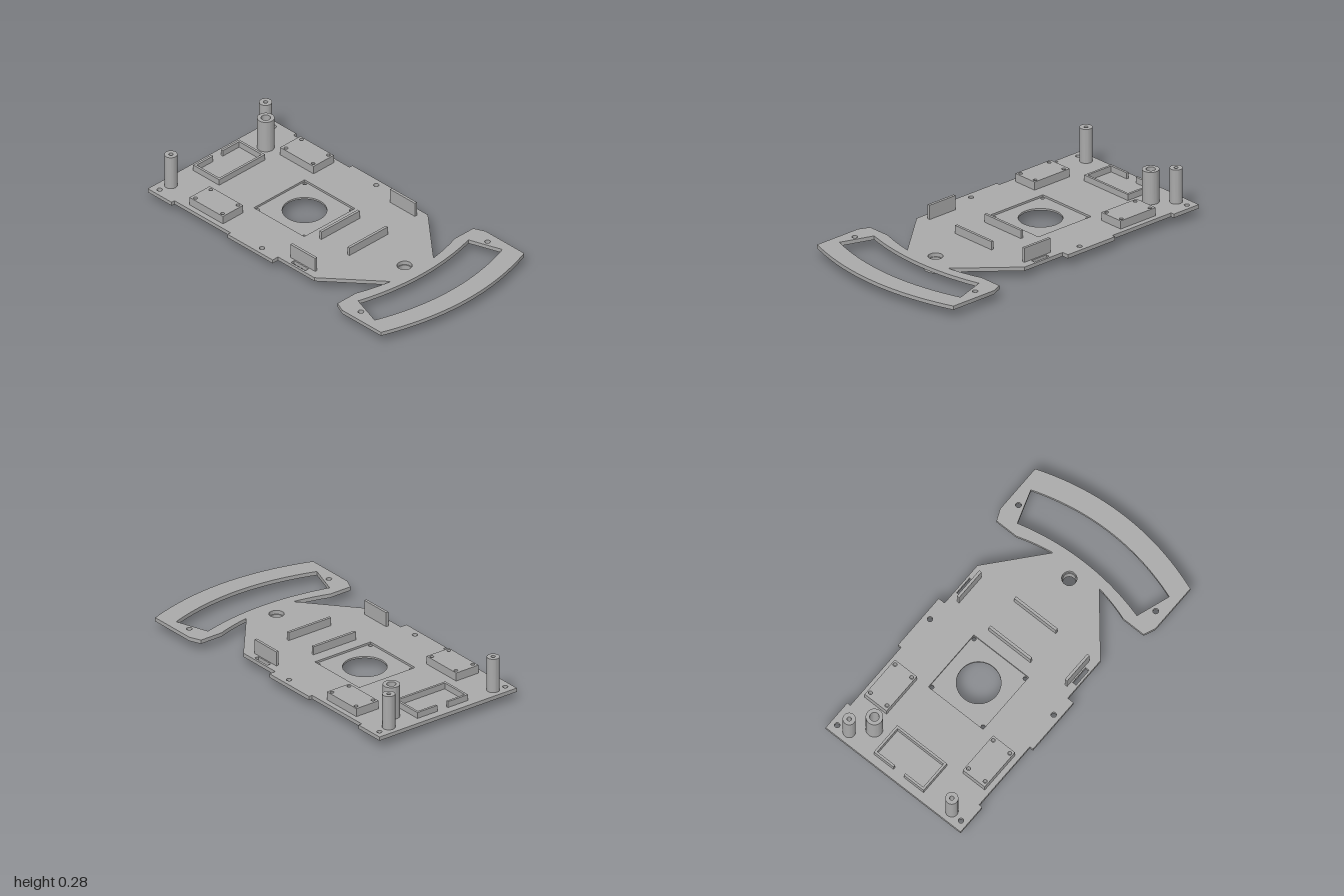
import * as THREE from 'three';
import { toCreasedNormals } from 'three/addons/utils/BufferGeometryUtils.js';

const grey = new THREE.MeshStandardMaterial({ color: 0xaaaaaa });
grey.name = 'grey plastic';

// All plan helpers take model x, z; shapes are drawn in (x, -z) and laid flat.
const circle = (x, z, r) => new THREE.Path().absarc(x, -z, r, 0, Math.PI * 2, false);
const rect = (x0, x1, z0, z1, Type = THREE.Path) =>
  new Type([[x0, z0], [x1, z0], [x1, z1], [x0, z1]].map(([x, z]) => new THREE.Vector2(x, -z)));
const disc = (x, z, r) => new THREE.Shape().absarc(x, -z, r, 0, Math.PI * 2, false);

function slab(group, name, shape, holes, y0, y1) {
  shape.holes.push(...holes);
  const flat = new THREE.ExtrudeGeometry(shape, { depth: y1 - y0, bevelEnabled: false, curveSegments: 24 });
  flat.rotateX(-Math.PI / 2).translate(0, y0, 0);
  const mesh = new THREE.Mesh(toCreasedNormals(flat, 0.5), grey);
  mesh.name = name;
  group.add(mesh);
}

function box(group, name, x0, x1, y0, y1, z0, z1) {
  const mesh = new THREE.Mesh(new THREE.BoxGeometry(x1 - x0, y1 - y0, z1 - z0), grey);
  mesh.position.set((x0 + x1) / 2, (y0 + y1) / 2, (z0 + z1) / 2);
  mesh.name = name;
  group.add(mesh);
}

// Chassis outline with side notches, tapered nose and curved bumper
function chassisShape() {
  const s = new THREE.Shape();
  const half = [[-1, 0.48], [-0.813, 0.48], [-0.813, 0.458], [-0.374, 0.458], [-0.374, 0.48],
    [-0.022, 0.48], [-0.022, 0.438], [0.262, 0.438], [0.583, 0.165]];
  s.moveTo(-1, 0.48);
  [...half].reverse().forEach(([x, y], i) => (i ? s.lineTo(x, y) : s.moveTo(x, y)));
  half.forEach(([x, y]) => s.lineTo(x, -y));
  s.quadraticCurveTo(0.566, -0.275, 0.53, -0.38);
  s.lineTo(0.53, -0.523);
  s.lineTo(0.597, -0.552);
  s.lineTo(0.9, -0.552);
  s.quadraticCurveTo(1.1, 0, 0.9, 0.552);
  s.lineTo(0.597, 0.552);
  s.lineTo(0.53, 0.523);
  s.lineTo(0.53, 0.38);
  s.quadraticCurveTo(0.566, 0.275, 0.583, 0.165);
  return s;
}

function bumperWindow() {
  const p = new THREE.Path();
  p.moveTo(0.592, -0.425);
  p.lineTo(0.79, -0.492);
  p.quadraticCurveTo(0.962, 0, 0.79, 0.492);
  p.lineTo(0.592, 0.425);
  p.quadraticCurveTo(0.71, 0, 0.592, -0.425);
  return p;
}

export function createModel() {
  const g = new THREE.Group();
  g.name = 'robotChassis';
  const bottom = 0.052, floor = 0.063, top = 0.075;

  // Holes that pass through the whole plate
  const through = () => {
    const h = [bumperWindow(), circle(0.524, 0, 0.042), circle(-0.836, -0.268, 0.026)];
    for (const s of [-1, 1]) {
      h.push(circle(-0.948, s * 0.44, 0.015), circle(-0.146, s * 0.44, 0.015), circle(0.678, s * 0.488, 0.016));
      h.push(s < 0 ? rect(0.066, 0.178, -0.425, -0.4) : rect(0.066, 0.178, 0.4, 0.425));
    }
    return h;
  };

  // Plate in two layers, the upper one leaving a square recess
  const recessHoles = [circle(-0.26, 0, 0.123)];
  for (const x of [-0.443, -0.079]) for (const z of [-0.182, 0.182]) recessHoles.push(circle(x, z, 0.011));
  slab(g, 'lowerPlate', chassisShape(), [...through(), ...recessHoles], bottom, floor);
  slab(g, 'upperPlate', chassisShape(), [...through(), rect(-0.458, -0.064, -0.195, 0.195)], floor, top);

  // Ring under the nose
  slab(g, 'casterRing', disc(0.524, 0, 0.066), [circle(0.524, 0, 0.037)], 0, bottom);

  // Hollow posts
  slab(g, 'tallPost', disc(-0.836, -0.268, 0.048), [circle(-0.836, -0.268, 0.026)], top, 0.27);
  for (const s of [-1, 1]) {
    slab(g, 'rearPost', disc(-0.936, s * 0.365, 0.036), [circle(-0.936, s * 0.365, 0.012)], top, 0.28);
  }

  // Mounting blocks with screw holes, and upright side tabs
  for (const s of [-1, 1]) {
    const z = s * 0.349, screws = [];
    for (const x of [-0.7, -0.487]) for (const dz of [-0.059, 0.059]) screws.push(circle(x, z + dz, 0.011));
    slab(g, 'mountingBlock', rect(-0.727, -0.465, z - 0.078, z + 0.078, THREE.Shape), screws, top, 0.124);
    box(g, 'sideTab', 0.028, 0.222, top, 0.161, s * 0.384 - 0.008, s * 0.384 + 0.008);
  }

  // Cross ribs
  for (const x of [0.015, 0.235]) box(g, 'crossRib', x - 0.008, x + 0.008, top, 0.124, -0.148, 0.148);

  // Tray frame with a gap in its rear wall
  const tray = new THREE.Shape([[-0.952, 0.177], [-0.952, 0.037], [-0.938, 0.037], [-0.938, 0.163],
    [-0.763, 0.163], [-0.763, -0.163], [-0.938, -0.163], [-0.938, -0.037], [-0.952, -0.037],
    [-0.952, -0.177], [-0.749, -0.177], [-0.749, 0.177]].map(([x, y]) => new THREE.Vector2(x, y)));
  slab(g, 'trayFrame', tray, [], top, 0.111);

  return g;
}
